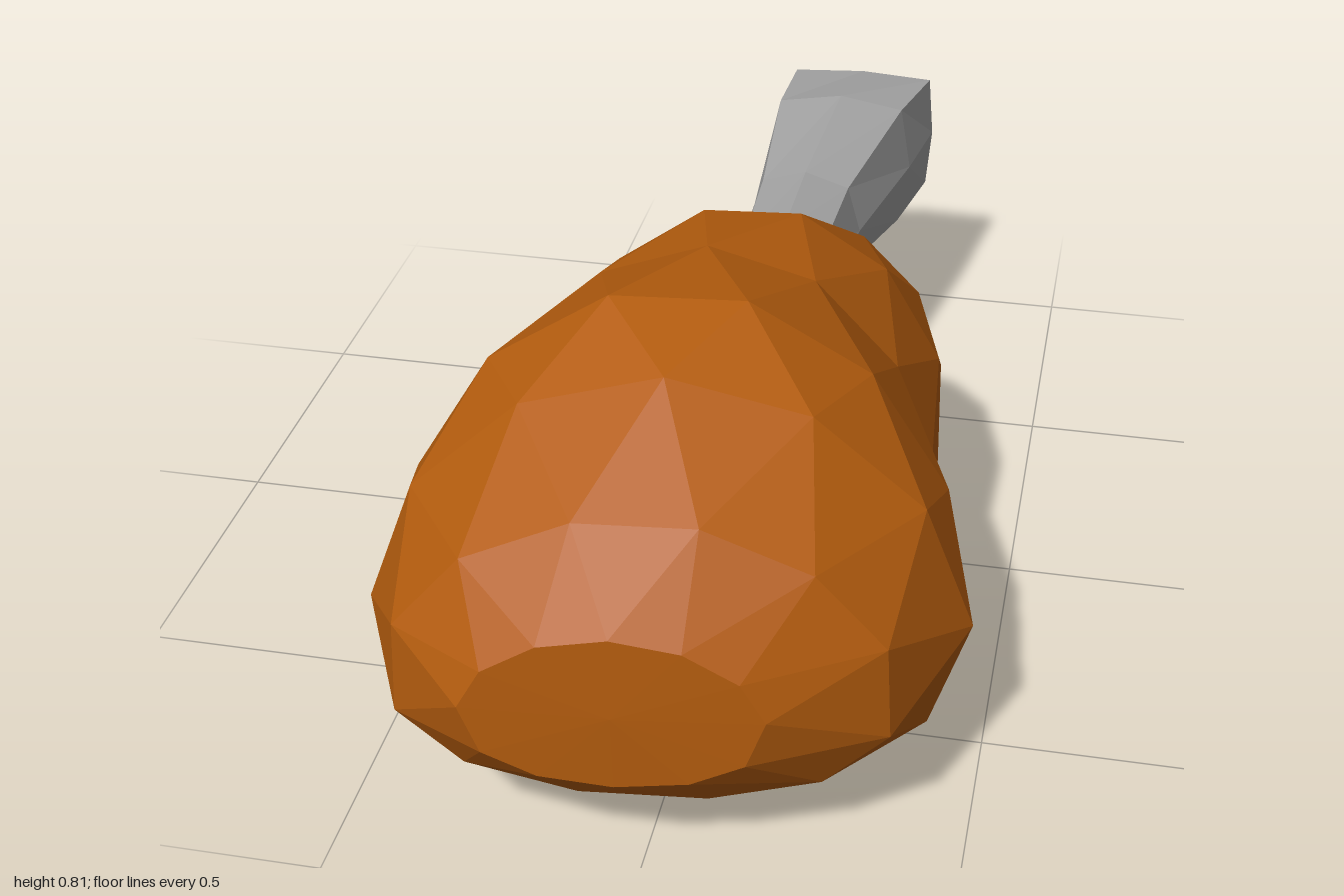
import * as THREE from 'three';

// Faceted solid lofted along z from front to back through sections:
// [z, xLeft, xRight, yBottom, yTop, yWidest]. Staggering turns odd rings by half a step;
// shape(cos, sin, ring) bends the unit circle of each ring.
function loft(sections, { sides, skew, stagger, bulgeFront, bulgeBack, shape }) {
  const rings = sections.map(([z, x0, x1, y0, y1, ym], i) => {
    const odd = stagger && i % 2 === 1;
    const grow = odd ? 1 / Math.cos(Math.PI / sides) : 1;
    const ring = [];
    for (let j = 0; j < sides; j++) {
      const a = ((j + (odd ? 0.5 : 0)) / sides) * Math.PI * 2;
      const [c, s] = shape(Math.cos(a) * grow, Math.sin(a) * grow, i);
      const x = (x0 + x1) / 2 + ((x1 - x0) / 2) * c;
      const y = ym + s * (s > 0 ? y1 - ym : ym - y0);
      ring.push([x, y, z - skew * x]);
    }
    return ring;
  });
  const pos = [];
  const tri = (a, b, c) => pos.push(...a, ...b, ...c);
  for (let i = 0; i < rings.length - 1; i++) {
    for (let j = 0; j < sides; j++) {
      const k = (j + 1) % sides;
      const a = rings[i][j], b = rings[i][k], c = rings[i + 1][j], d = rings[i + 1][k];
      if (stagger && i % 2 === 1) { tri(a, c, d); tri(a, d, b); }
      else { tri(a, c, b); tri(b, c, d); }
    }
  }
  // End caps
  const cap = (ring, dz, front) => {
    const mid = [0, 1, 2].map(n => ring.reduce((t, p) => t + p[n], 0) / sides);
    mid[2] += dz;
    for (let j = 0; j < sides; j++) {
      const p = ring[j], q = ring[(j + 1) % sides];
      if (front) tri(mid, p, q); else tri(mid, q, p);
    }
  };
  cap(rings[0], bulgeFront, true);
  cap(rings[rings.length - 1], -bulgeBack, false);
  const geo = new THREE.BufferGeometry();
  geo.setAttribute('position', new THREE.Float32BufferAttribute(pos, 3));
  geo.computeVertexNormals(); // unshared corners give flat facets
  return geo;
}

const power = (v, e) => Math.sign(v) * Math.abs(v) ** e;

export function createModel() {
  const group = new THREE.Group();
  const roast = new THREE.MeshStandardMaterial({ color: 0xb35c0e });
  roast.name = 'roastedBrown';
  const grey = new THREE.MeshStandardMaterial({ color: 0xa2a2a2 });
  grey.name = 'boneGrey';

  // Plump meat: narrower crown, flattened underside, a hollow low on its left flank
  const meat = new THREE.Mesh(loft([
    [0.972, -0.25, 0.21, 0.24, 0.52, 0.38],
    [0.865, -0.385, 0.38, 0.13, 0.65, 0.37],
    [0.66, -0.485, 0.48, 0.008, 0.78, 0.34],
    [0.49, -0.46, 0.425, 0.025, 0.82, 0.36],
    [0.27, -0.40, 0.365, 0.065, 0.795, 0.36],
    [0.05, -0.325, 0.355, 0.06, 0.745, 0.36],
    [-0.13, -0.23, 0.335, 0.10, 0.65, 0.34],
    [-0.27, -0.14, 0.29, 0.14, 0.48, 0.31],
    [-0.357, 0.03, 0.24, 0.25, 0.36, 0.31],
  ], {
    sides: 12, skew: 0.11, stagger: true, bulgeFront: 0.005, bulgeBack: 0.002,
    shape: (c, s, i) => {
      if (s > 0) return [c * (1 - 0.08 * s), s];
      const hollow = (i === 4 || i === 5) && c > 0.3 && s < -0.3;
      return [hollow ? c * 0.86 : c, power(s, 0.72)];
    },
  }), roast);
  meat.name = 'meat';

  // Bone: eight-sided at the meat, flaring into a squarish blunt knob
  const squareness = [0.9, 0.9, 0.75, 0.45, 0.2, 0.3];
  const bone = new THREE.Mesh(loft([
    [-0.10, -0.08, 0.11, 0.34, 0.53, 0.44],
    [-0.25, -0.09, 0.12, 0.33, 0.55, 0.44],
    [-0.48, -0.092, 0.13, 0.325, 0.56, 0.44],
    [-0.78, -0.107, 0.19, 0.29, 0.59, 0.44],
    [-0.955, -0.092, 0.216, 0.31, 0.57, 0.44],
    [-0.99, -0.03, 0.155, 0.355, 0.52, 0.44],
  ], {
    sides: 8, skew: 0, stagger: false, bulgeFront: 0, bulgeBack: 0.01,
    shape: (c, s, i) => [power(c, squareness[i]), power(s, squareness[i])],
  }), grey);
  bone.name = 'bone';

  group.add(meat, bone);
  return group;
}
